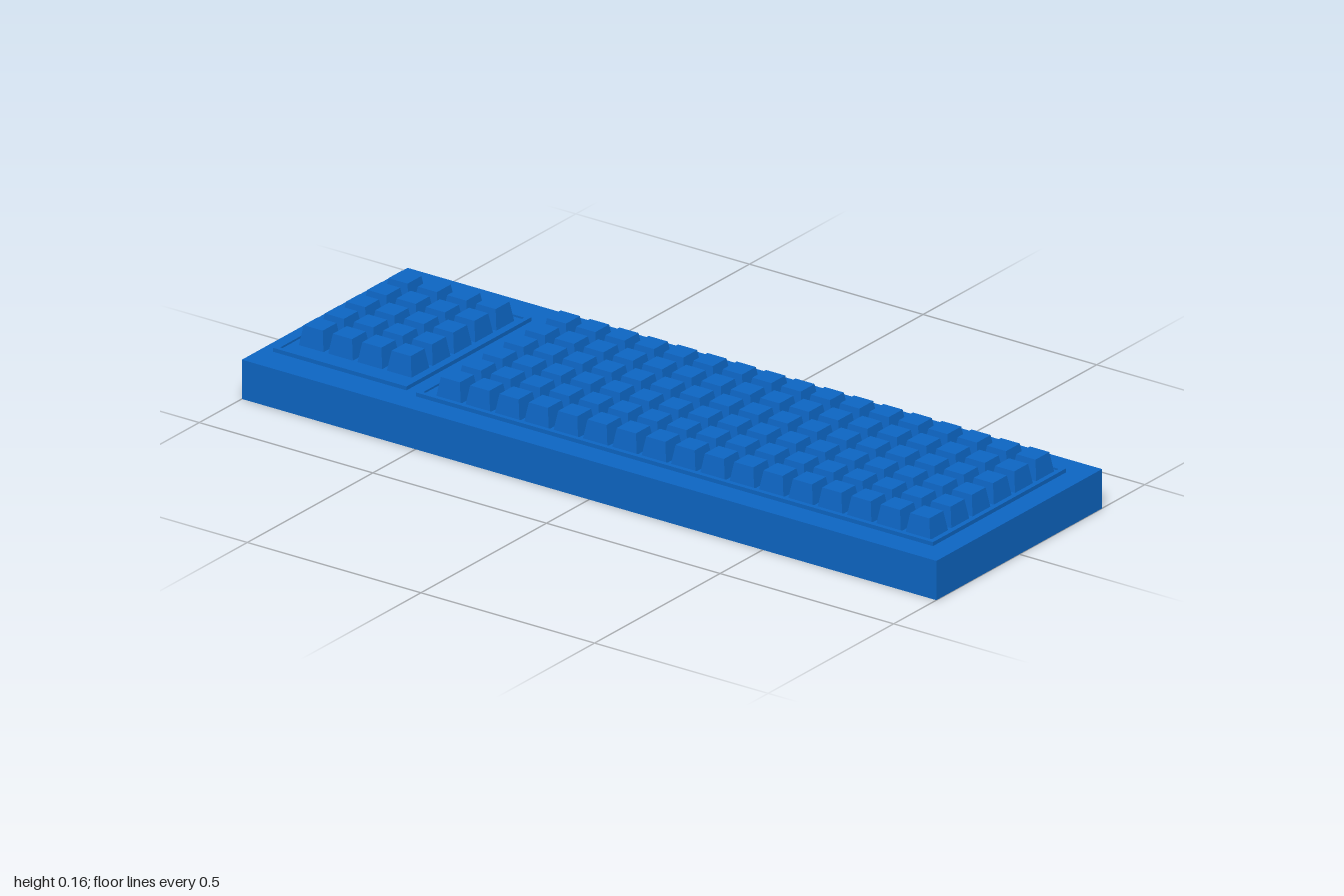
import * as THREE from 'three';

const material = new THREE.MeshStandardMaterial({ color: 0x0d66c4, flatShading: true });

function box(name, x0, x1, y0, y1, z0, z1) {
  const mesh = new THREE.Mesh(new THREE.BoxGeometry(x1 - x0, y1 - y0, z1 - z0), material);
  mesh.position.set((x0 + x1) / 2, (y0 + y1) / 2, (z0 + z1) / 2);
  mesh.name = name;
  return mesh;
}

// Raised tray: a thin floor inside a slightly higher rim
function tray(name, x0, x1, z0, z1) {
  const rimWidth = 0.012, bottom = 0.1, floor = 0.105, top = 0.11;
  const outline = (P, d) => {
    const p = new P();
    p.moveTo(x0 + d, -z1 + d);
    p.lineTo(x1 - d, -z1 + d);
    p.lineTo(x1 - d, -z0 - d);
    p.lineTo(x0 + d, -z0 - d);
    p.closePath();
    return p;
  };
  const shape = outline(THREE.Shape, 0);
  shape.holes.push(outline(THREE.Path, rimWidth));
  const geometry = new THREE.ExtrudeGeometry(shape, { depth: top - bottom, bevelEnabled: false });
  geometry.rotateX(-Math.PI / 2).translate(0, bottom, 0);
  const rim = new THREE.Mesh(geometry, material);
  rim.name = name + 'Rim';
  const group = new THREE.Group();
  group.name = name;
  group.add(rim, box(name + 'Floor', x0 + rimWidth, x1 - rimWidth, bottom, floor, z0 + rimWidth, z1 - rimWidth));
  return group;
}

// Tapered square keycap
const keyGeometry = new THREE.CylinderGeometry(0.055 / Math.SQRT2, 0.071 / Math.SQRT2, 0.05, 4);
keyGeometry.rotateY(Math.PI / 4).translate(0, 0.13, 0);

function keyGrid(name, columns, rows, x, z, pitch) {
  const group = new THREE.Group();
  group.name = name;
  for (let r = 0; r < rows; r++) {
    for (let c = 0; c < columns; c++) {
      const key = new THREE.Mesh(keyGeometry, material);
      key.name = 'key';
      key.position.set(x + c * pitch, 0, z + r * pitch);
      group.add(key);
    }
  }
  return group;
}

export function createModel() {
  const keyboard = new THREE.Group();
  keyboard.name = 'keyboard';
  keyboard.add(
    box('base', -0.33, 0.33, 0, 0.1, -1, 1),
    // Main block of keys
    tray('mainTray', -0.265, 0.265, -0.545, 0.943),
    keyGrid('mainKeys', 6, 17, -0.2135, -0.464, 0.0845),
    // Number pad
    tray('numberTray', -0.25, 0.248, -0.968, -0.584),
    keyGrid('numberKeys', 5, 4, -0.157, -0.9, 0.0845)
  );
  return keyboard;
}
